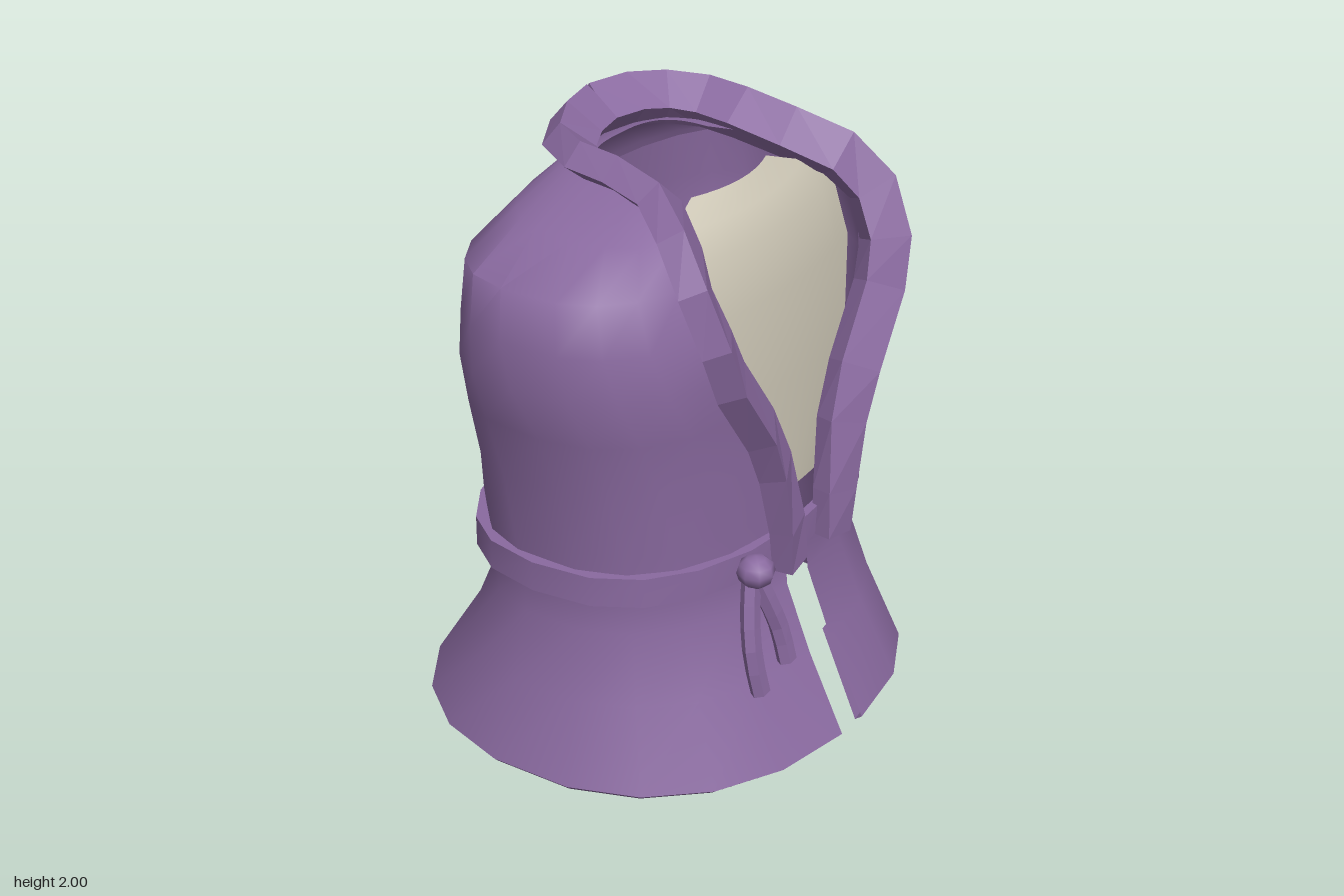
import * as THREE from 'three';
import { toCreasedNormals } from 'three/addons/utils/BufferGeometryUtils.js';

const cloth = new THREE.MeshStandardMaterial({ color: 0x8a6aa0, side: THREE.DoubleSide });
const clothFlat = new THREE.MeshStandardMaterial({ color: 0x8a6aa0, side: THREE.DoubleSide, flatShading: true });
const linen = new THREE.MeshStandardMaterial({ color: 0xcbc5b4, side: THREE.DoubleSide });

// Surface through a grid of points, with optional end caps for closed tubes
function skin(rows, caps = false) {
  const n = rows[0].length, pos = rows.flat().flatMap(p => [p.x, p.y, p.z]), idx = [];
  for (let i = 0; i < rows.length - 1; i++)
    for (let j = 0; j < n - 1; j++) {
      const a = i * n + j, b = a + 1, c = a + n, d = c + 1;
      idx.push(a, b, d, a, d, c);
    }
  if (caps) {
    const last = (rows.length - 1) * n;
    for (let j = 1; j < n - 2; j++) idx.push(0, j + 1, j, last, last + j, last + j + 1);
  }
  const g = new THREE.BufferGeometry();
  g.setAttribute('position', new THREE.Float32BufferAttribute(pos, 3));
  g.setIndex(idx);
  g.computeVertexNormals();
  return g;
}

// One rounded cross-section, open by `gap` either side of the front centre
function ring([y, rx, front, back, gap, power], spans = 19) {
  const e = 2 / power, a0 = Math.asin(Math.min(1, (gap / rx) ** (1 / e)));
  const bend = v => Math.sign(v) * Math.abs(v) ** e;
  return Array.from({ length: spans + 1 }, (_, i) => {
    const a = a0 + (2 * Math.PI - 2 * a0) * i / spans, c = bend(Math.cos(a));
    return new THREE.Vector3(rx * bend(Math.sin(a)), y, c * (c > 0 ? front : back));
  });
}

// Sweep a closed section along a path; normals steer the section's second axis
function sweep(path, normals, section, scales) {
  const rows = path.map((p, i) => {
    const t = path[Math.min(i + 1, path.length - 1)].clone().sub(path[Math.max(i - 1, 0)]).normalize();
    const n = normals[i].clone().addScaledVector(t, -normals[i].dot(t)).normalize();
    const b = new THREE.Vector3().crossVectors(n, t);
    return [...section, section[0]].map(([u, v]) =>
      p.clone().addScaledVector(b, u * scales[i]).addScaledVector(n, v * scales[i]));
  });
  return skin(rows, true);
}

const vec = (x, y, z) => new THREE.Vector3(x, y, z);

export function createModel() {
  const model = new THREE.Group();
  const add = (name, geometry, material) => {
    const m = new THREE.Mesh(geometry, material);
    m.name = name;
    model.add(m);
    return m;
  };

  // Robe shell: inside of the hem, round the rim, then up to the neck
  const shell = [
    [0.3, 0.695, 0.57, 0.53, 0.06, 2.2],
    [0, 0.80, 0.705, 0.71, 0.06, 2.22],
    [0.02, 0.82, 0.73, 0.735, 0.06, 2.22],
    [0.28, 0.735, 0.6, 0.56, 0.06, 2.25],
    [0.51, 0.675, 0.505, 0.455, 0.06, 2.35],
    [0.63, 0.675, 0.5, 0.445, 0.06, 2.4],
    [0.8, 0.695, 0.5, 0.45, 0.12, 2.5],
    [1.0, 0.715, 0.5, 0.453, 0.19, 2.5],
    [1.2, 0.76, 0.505, 0.453, 0.29, 2.55],
    [1.36, 0.795, 0.515, 0.45, 0.4, 2.55],
    [1.5, 0.785, 0.485, 0.435, 0.46, 2.6],
    [1.66, 0.76, 0.425, 0.41, 0.47, 2.75],
    [1.76, 0.55, 0.4, 0.35, 0.41, 2.5],
    [1.84, 0.35, 0.3, 0.28, 0.31, 2.4],
    [1.86, 0.21, 0.2, 0.19, 0.21, 3],
  ];
  add('robeShell', toCreasedNormals(skin(shell.map(r => ring(r))), 1), cloth);

  // Lining set just inside the sides and back
  const lining = shell.slice(3, 12).map(([y, rx, f, b, gap, p]) =>
    ring([y, rx - 0.035, f - 0.035, b - 0.035, Math.max(gap + 0.05, 0.28), p]));
  add('lining', skin(lining), cloth);

  // Pale undershirt panel: height, half width, centre z, edge z
  const panel = [
    [0.82, 0.16, 0.47, 0.46],
    [1.2, 0.36, 0.46, 0.43],
    [1.5, 0.46, 0.43, 0.37],
    [1.68, 0.46, 0.385, 0.31],
    [1.76, 0.36, 0.325, 0.26],
    [1.82, 0.2, 0.265, 0.225],
  ].map(([y, w, zc, ze]) => Array.from({ length: 9 }, (_, i) => {
    const u = i / 4 - 1;
    return vec(u * w, y, zc + (ze - zc) * u * u);
  }));
  add('undershirtPanel', skin(panel), linen);

  // Belt
  const belt = [
    [0.635, 0.66, 0.5, 0.44, 0, 2.4],
    [0.635, 0.72, 0.53, 0.49, 0, 2.4],
    [0.735, 0.72, 0.53, 0.49, 0, 2.4],
    [0.735, 0.66, 0.5, 0.44, 0, 2.4],
    [0.635, 0.66, 0.5, 0.44, 0, 2.4],
  ];
  add('belt', toCreasedNormals(skin(belt.map(r => ring(r, 20))), 0.75), cloth);

  // Collar bands: position, facing direction (turned in towards the neck), scale
  const collar = [
    [0.12, 0.63, 0.553, -0.12, 0, 1, 0.78],
    [0.138, 0.78, 0.55, -0.25, 0, 0.95, 0.85],
    [0.19, 1.0, 0.535, -0.42, 0.12, 0.88, 0.95],
    [0.265, 1.16, 0.53, -0.47, 0.3, 0.82, 1],
    [0.415, 1.38, 0.52, -0.5, 0.27, 0.82, 1],
    [0.468, 1.52, 0.505, -0.56, 0.15, 0.8, 1],
    [0.486, 1.67, 0.44, -0.57, 0.35, 0.73, 1],
    [0.43, 1.78, 0.345, -0.57, 0.57, 0.57, 1],
    [0.34, 1.85, 0.21, -0.6, 0.7, 0.3, 1],
    [0.315, 1.885, 0.05, -0.6, 0.77, 0.05, 1],
    [0.31, 1.895, -0.08, -0.6, 0.77, 0.1, 1],
    [0.25, 1.905, -0.19, -0.45, 0.77, 0.4, 1],
    [0.14, 1.92, -0.247, -0.2, 0.77, 0.6, 1],
    [0, 1.92, -0.28, 0, 0.77, 0.63, 1],
  ];
  const band = [[-0.07, -0.045], [0.07, -0.045], [0.07, 0.045], [-0.07, 0.045]];
  for (const [s, name] of [[1, 'leftCollar'], [-1, 'rightCollar']]) {
    const path = collar.map(c => vec(s * c[0], c[1], c[2]));
    const facing = collar.map(c => vec(s * c[3], c[4], c[5]));
    add(name, sweep(path, facing, band, collar.map(c => c[6])), clothFlat);
  }

  // Belt knot with two hanging cord ends
  const knot = add('beltKnot', new THREE.SphereGeometry(0.062, 8, 6), cloth);
  knot.position.set(-0.31, 0.695, 0.55);
  knot.scale.y = 0.87;
  const cord = Array.from({ length: 6 }, (_, i) => {
    const a = i * Math.PI / 3;
    return [0.035 * Math.cos(a), 0.03 * Math.sin(a)];
  });
  const tails = [
    [vec(-0.32, 0.66, 0.54), vec(-0.345, 0.54, 0.555), vec(-0.357, 0.42, 0.575), vec(-0.34, 0.285, 0.595)],
    [vec(-0.3, 0.66, 0.55), vec(-0.26, 0.55, 0.575), vec(-0.23, 0.46, 0.59), vec(-0.215, 0.345, 0.61)],
  ];
  for (const t of tails) {
    const path = new THREE.CatmullRomCurve3(t).getPoints(5);
    add('beltCordEnd', sweep(path, path.map(() => vec(0, 0, 1)), cord, path.map(() => 1)), clothFlat);
  }
  return model;
}
